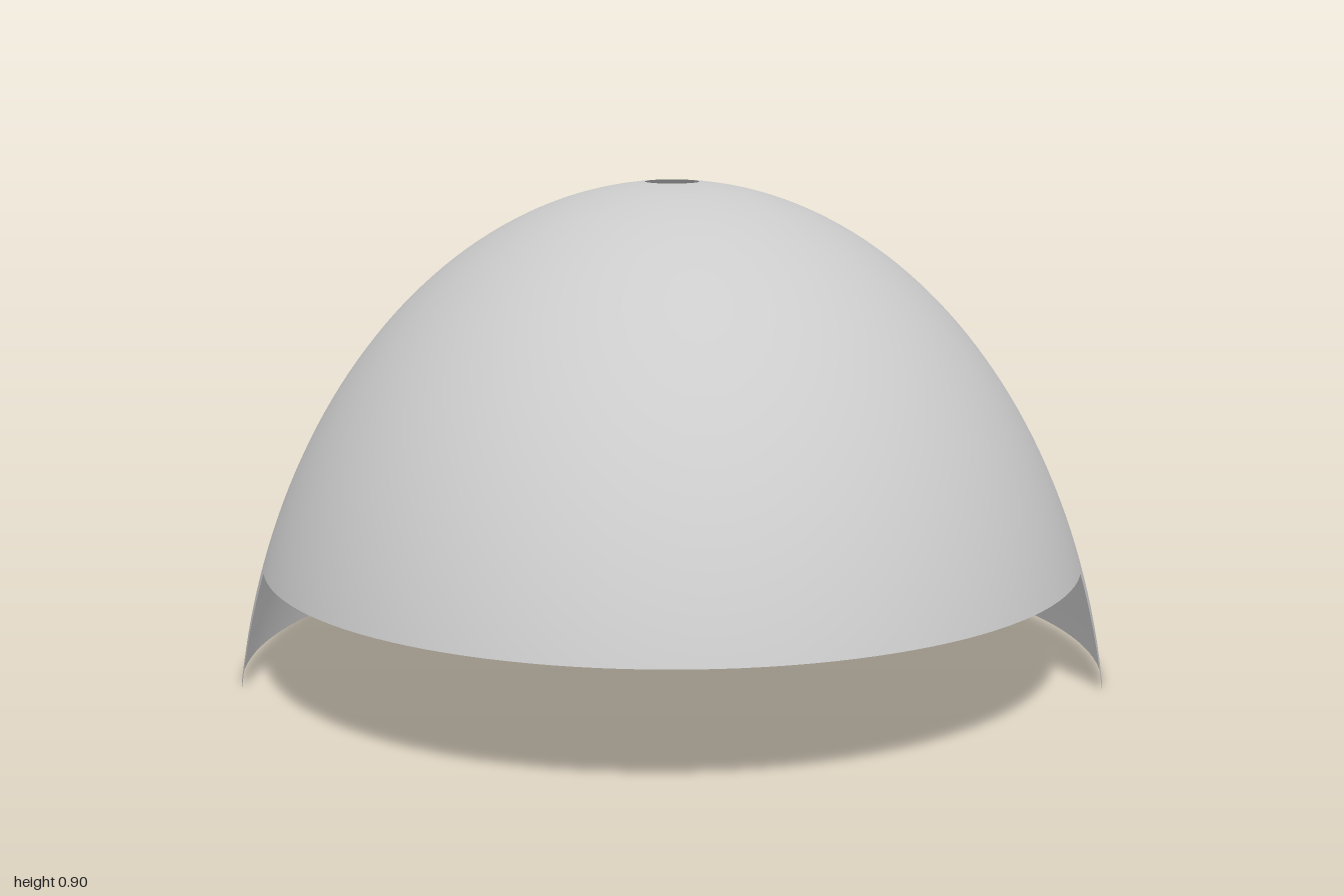
import * as THREE from 'three';

const DEG = Math.PI / 180;
const CENTRE = { y: -0.174, z: 0.027 };
const RADII = { x: 0.811, y: 1.081, z: 1.0405 };
const HOLE = 3.55 * DEG; // polar angle of the crown hole
const BRIM = 69.2 * DEG; // polar angle of the front edge
const BASE = 80.74 * DEG; // polar angle of the lower edge
const WRAP = 12.85 * DEG; // how far the skirt reaches forward past the sides

// A band of the ellipsoid between two polar angles
function band(name, segments, rings, phiStart, phiLength, top, bottom, material) {
  const geometry = new THREE.SphereGeometry(1, segments, rings, phiStart, phiLength, top, bottom - top);
  geometry.scale(RADII.x, RADII.y, RADII.z);
  geometry.translate(0, CENTRE.y, CENTRE.z);
  const mesh = new THREE.Mesh(geometry, material);
  mesh.name = name;
  return mesh;
}

export function createModel() {
  const group = new THREE.Group();
  group.name = 'domeShell';
  const material = new THREE.MeshStandardMaterial({ color: 0xcccccc, side: THREE.DoubleSide });

  // Full dome with a small open hole at the crown
  group.add(band('dome', 128, 40, 0, Math.PI * 2, HOLE, BRIM, material));

  // Lower skirt round the back and sides, open at the front
  group.add(band('skirt', 74, 8, Math.PI - WRAP, Math.PI + 2 * WRAP, BRIM, BASE, material));

  return group;
}
